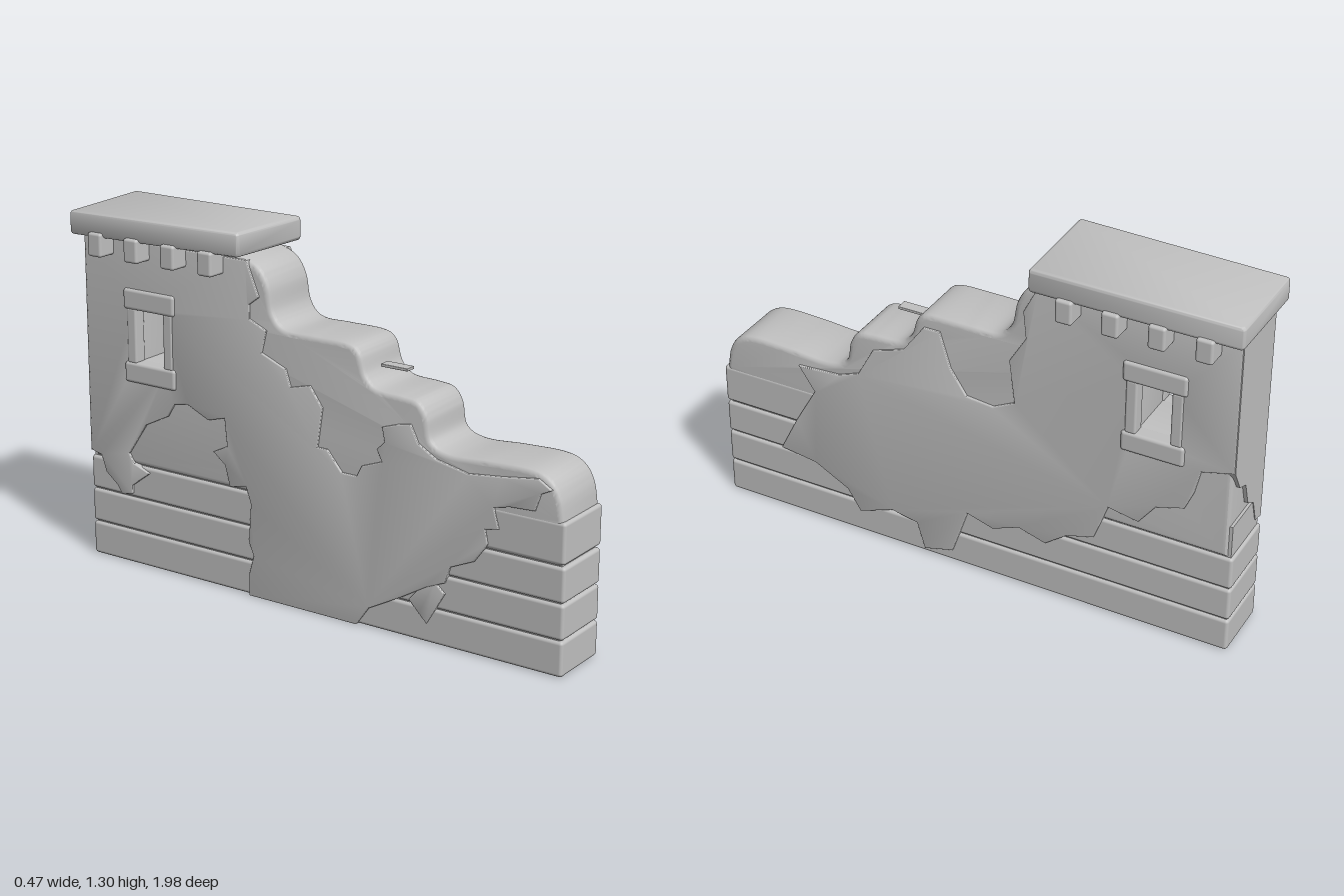
import * as THREE from 'three';
import { RoundedBoxGeometry } from 'three/addons/geometries/RoundedBoxGeometry.js';
import { toCreasedNormals } from 'three/addons/utils/BufferGeometryUtils.js';

const stone = new THREE.MeshStandardMaterial({ color: 0xc0c0c0 });
stone.name = 'grey stone';

// Window opening in (z, y)
const WIN = { z0: -0.745, z1: -0.615, y0: 0.765, y1: 0.955 };

const toPoints = (list) => list.map(([z, y]) => new THREE.Vector2(z, y));

function addWindowHole(shape) {
  const { z0, z1, y0, y1 } = WIN;
  shape.holes.push(new THREE.Path(toPoints([[z0, y0], [z0, y1], [z1, y1], [z1, y0]])));
}

// Extrudes a (z, y) outline across the wall, from x = x0 to x = x1
function slab(shape, x0, x1, bevel) {
  const geo = new THREE.ExtrudeGeometry(shape, {
    depth: x1 - x0 - 2 * bevel, bevelEnabled: true, bevelThickness: bevel,
    bevelSize: bevel, bevelOffset: -bevel, bevelSegments: 3, curveSegments: 8,
  });
  geo.translate(0, 0, bevel - x1);
  geo.rotateY(-Math.PI / 2);
  return toCreasedNormals(geo, 0.6);
}

export function createModel() {
  const model = new THREE.Group();
  model.name = 'ruinedWall';
  const wall = new THREE.Group();
  wall.name = 'wall';
  wall.rotation.y = 0.08;
  wall.position.x = 0.035;
  model.add(wall);

  const add = (name, geo) => {
    const mesh = new THREE.Mesh(geo, stone);
    mesh.name = name;
    wall.add(mesh);
    return mesh;
  };
  const block = (name, w, h, d, x, y, z, r = 0.012) => {
    const mesh = add(name, new RoundedBoxGeometry(w, h, d, 2, r));
    mesh.position.set(x, y, z);
    return mesh;
  };

  // Upper wall with broken, worn steps
  const core = new THREE.Shape();
  core.moveTo(-0.955, 0.38);
  core.lineTo(0.965, 0.38);
  core.lineTo(0.968, 0.53);
  core.splineThru(toPoints([[0.955, 0.6], [0.92, 0.655], [0.85, 0.682], [0.7, 0.68], [0.55, 0.672],
    [0.475, 0.7], [0.455, 0.78], [0.42, 0.825], [0.36, 0.835], [0.26, 0.842], [0.215, 0.88],
    [0.19, 0.95], [0.14, 0.978], [0, 0.98], [-0.11, 0.983], [-0.16, 1.03], [-0.18, 1.12],
    [-0.22, 1.18], [-0.29, 1.21]]));
  core.lineTo(-0.955, 1.22);
  addWindowHole(core);
  add('upperWall', slab(core, -0.119, 0.119, 0.018));

  // Lower stone courses around a mortar core
  const mortar = add('mortar', new THREE.BoxGeometry(0.215, 0.5, 1.93));
  mortar.position.y = 0.25;
  for (let i = 0; i < 3; i++) {
    block('stoneCourse', 0.236, 0.123, 1.956, 0, 0.0625 + i * 0.127, 0.003);
  }
  block('frontStone', 0.242, 0.143, 0.4, 0, 0.457, 0.78);

  // Plaster left on the two long faces, with ragged edges
  const rightPlaster = [[-0.965, 1.2], [-0.965, 0.4], [-0.92, 0.39], [-0.9, 0.33], [-0.85, 0.29],
    [-0.83, 0.26], [-0.78, 0.27], [-0.78, 0.3], [-0.7, 0.36], [-0.77, 0.385], [-0.79, 0.42],
    [-0.75, 0.48], [-0.71, 0.54], [-0.61, 0.59], [-0.58, 0.64], [-0.52, 0.65], [-0.43, 0.61],
    [-0.36, 0.63], [-0.35, 0.53], [-0.41, 0.5], [-0.36, 0.46], [-0.34, 0.385], [-0.27, 0.4],
    [-0.25, 0.34], [-0.26, 0.2], [-0.24, 0.15], [-0.26, 0.08], [-0.26, 0], [0.19, 0], [0.24, 0.07],
    [0.37, 0.14], [0.47, 0.2], [0.54, 0.23], [0.56, 0.29], [0.65, 0.33], [0.7, 0.4], [0.69, 0.45],
    [0.74, 0.46], [0.72, 0.53], [0.78, 0.545], [0.87, 0.55], [0.89, 0.61], [0.93, 0.63],
    [0.88, 0.66], [0.75, 0.64], [0.62, 0.625], [0.5, 0.65], [0.43, 0.69], [0.4, 0.75], [0.35, 0.74],
    [0.29, 0.72], [0.3, 0.67], [0.27, 0.64], [0.29, 0.6], [0.21, 0.57], [0.19, 0.53], [0.13, 0.53],
    [0.07, 0.6], [0.03, 0.6], [0.05, 0.74], [0, 0.81], [-0.08, 0.79], [-0.1, 0.85], [-0.2, 0.89],
    [-0.18, 0.97], [-0.25, 1], [-0.25, 1.05], [-0.21, 1.08], [-0.26, 1.2]];
  const leftPlaster = [[-0.965, 1.2], [-0.965, 0.72], [-0.85, 0.69], [-0.83, 0.6], [-0.8, 0.53],
    [-0.7, 0.5], [-0.64, 0.42], [-0.53, 0.44], [-0.48, 0.3], [-0.38, 0.27], [-0.3, 0.21],
    [-0.2, 0.24], [-0.1, 0.2], [0, 0.23], [0.06, 0.05], [0.17, 0.02], [0.2, 0.12], [0.3, 0.14],
    [0.43, 0.09], [0.48, 0.17], [0.61, 0.24], [0.75, 0.26], [0.68, 0.4], [0.6, 0.54], [0.66, 0.63],
    [0.5, 0.64], [0.42, 0.67], [0.36, 0.78], [0.24, 0.82], [0.16, 0.93], [0.1, 0.93], [0.06, 0.8],
    [0, 0.71], [-0.1, 0.7], [-0.18, 0.74], [-0.16, 0.9], [-0.22, 1], [-0.21, 1.1], [-0.26, 1.2]];
  const plasterSides = [['rightPlaster', rightPlaster, -0.128, -0.1],
    ['leftPlaster', leftPlaster, 0.1, 0.128]];
  for (const [name, outline, x0, x1] of plasterSides) {
    const shape = new THREE.Shape(toPoints(outline));
    addWindowHole(shape);
    add(name, slab(shape, x0, x1, 0.004));
  }
  const chip = new THREE.Shape(toPoints([[0.54, 0.19], [0.47, 0.07], [0.44, 0.1], [0.4, 0.14],
    [0.45, 0.2], [0.5, 0.225]]));
  add('plasterChip', slab(chip, -0.126, -0.1, 0.004));

  // Plaster on the back end, its lower edge rising toward the left
  const back = new THREE.Shape(toPoints([[-0.126, 0.4], [-0.08, 0.41], [-0.05, 0.5], [0, 0.53],
    [0.03, 0.62], [0.08, 0.64], [0.126, 0.72], [0.126, 1.2], [-0.126, 1.2]]));
  const backGeo = new THREE.ExtrudeGeometry(back, { depth: 0.03, bevelEnabled: false });
  add('backPlaster', backGeo).position.z = -0.968;

  // Window surrounds on both faces
  const zc = (WIN.z0 + WIN.z1) / 2;
  for (const side of [-1, 1]) {
    block('windowLintel', 0.06, 0.075, 0.225, side * 0.108, 0.993, zc);
    block('windowSill', 0.06, 0.075, 0.225, side * 0.108, 0.728, zc);
    for (const s of [-1, 1]) {
      block('windowJamb', 0.05, 0.2, 0.04, side * 0.108, 0.86, zc + s * 0.08, 0.008);
    }
  }

  // Worn cap slab, gently warped
  const capGeo = new RoundedBoxGeometry(0.366, 0.085, 0.735, 4, 0.014);
  const p = capGeo.attributes.position;
  for (let i = 0; i < p.count; i++) {
    const z = p.getZ(i);
    const x = p.getX(i);
    p.setY(i, p.getY(i) + 0.012 * z + 0.02 * x * (z < 0 ? 1 : -1));
  }
  capGeo.computeVertexNormals();
  add('capSlab', toCreasedNormals(capGeo, 0.6)).position.set(0, 1.254, -0.62);

  // Corbels under the cap
  for (let i = 0; i < 4; i++) {
    for (const side of [-1, 1]) {
      block('corbel', 0.1, 0.085, 0.06, side * 0.148, 1.183, -0.385 - i * 0.16, 0.01);
    }
  }

  // Loose splinter above the steps
  block('splinter', 0.042, 0.01, 0.105, -0.012, 0.897, 0.273, 0.002);

  return model;
}
